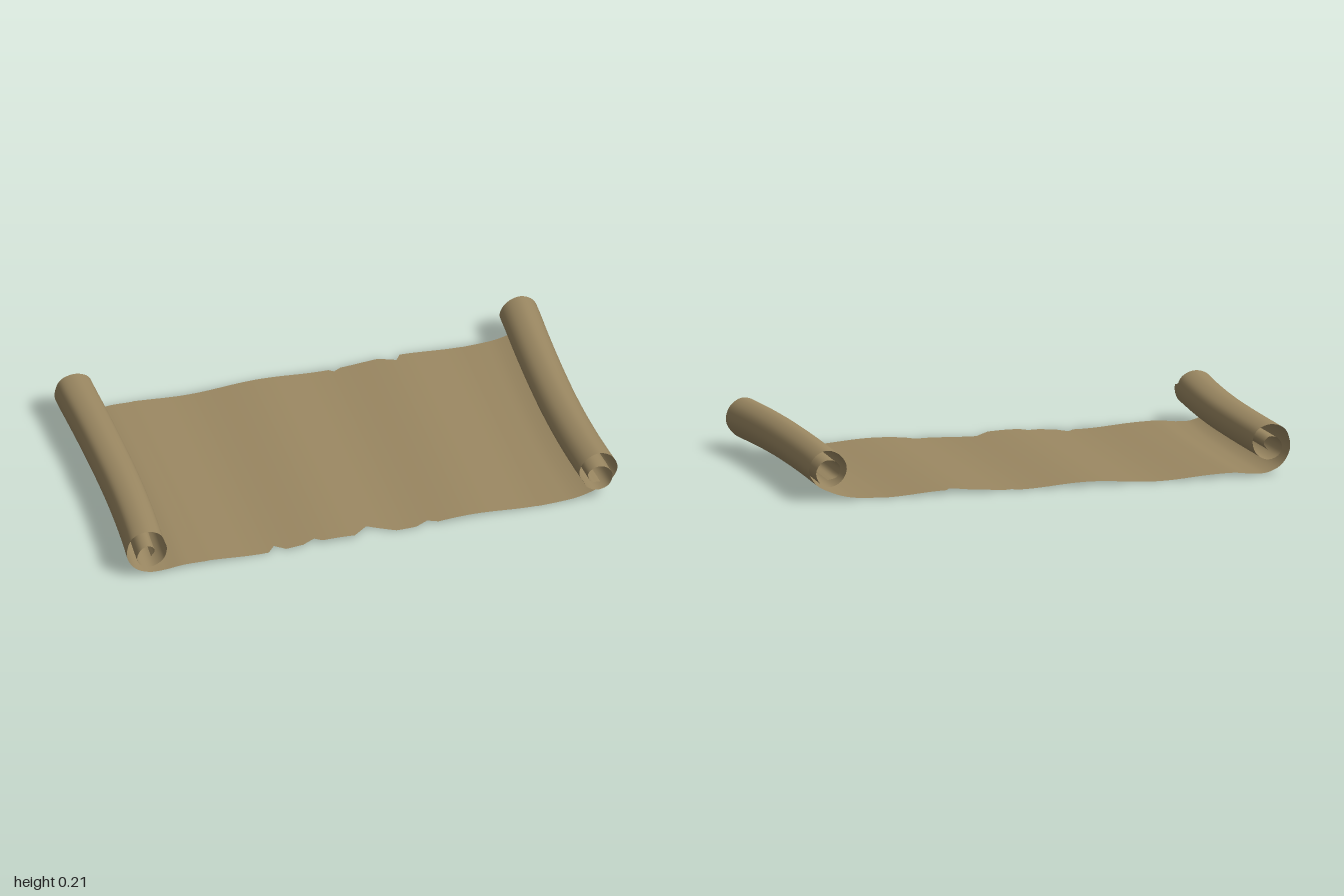
import * as THREE from 'three';

// Half profiles (x, y), from the flat sheet into the centre of each curl
const RIGHT = [[0.66, 0.005], [0.74, 0.008], [0.80, 0.014], [0.87, 0.035], [0.935, 0.07], [0.966, 0.125],
  [0.945, 0.18], [0.895, 0.205], [0.84, 0.185], [0.813, 0.135], [0.83, 0.085], [0.875, 0.06], [0.92, 0.075],
  [0.937, 0.12], [0.91, 0.16], [0.87, 0.165], [0.84, 0.14], [0.85, 0.10], [0.89, 0.088]];
const LEFT = [[-0.66, 0.0184], [-0.75, 0.02], [-0.82, 0.012], [-0.88, 0.014], [-0.935, 0.04], [-0.968, 0.09],
  [-0.972, 0.13], [-0.95, 0.185], [-0.895, 0.205], [-0.84, 0.185], [-0.82, 0.14], [-0.835, 0.09], [-0.88, 0.065],
  [-0.925, 0.08], [-0.94, 0.115], [-0.92, 0.15], [-0.885, 0.155], [-0.865, 0.13], [-0.88, 0.105]];

// Tears in the edges: start x, deepest x, end x, depth
const FRONT_TEARS = [[-0.42, -0.39, -0.35, 0.035], [-0.28, -0.23, -0.20, 0.022],
  [-0.07, -0.01, 0.10, 0.05], [0.18, 0.23, 0.27, 0.022]];
const BACK_TEARS = [[0.13, 0.15, 0.18, 0.015], [0.33, 0.40, 0.42, 0.03]];

function tearDepth(x, tears) {
  for (const [a, p, b, d] of tears) {
    if (x > a && x < b) return d * (x < p ? (x - a) / (p - a) : (b - x) / (b - p));
  }
  return 0;
}

// Columns across one curl; the inner turn sticks out further at the front
function curlColumns(points) {
  const curve = new THREE.CatmullRomCurve3(points.map(([x, y]) => new THREE.Vector3(x, y, 0)));
  const n = 110;
  return curve.getSpacedPoints(n).map((p, i) => ({
    x: p.x, y: p.y, back: -0.553,
    front: i / n > 0.63 ? 0.55 - 0.012 * Math.max(0, i / n - 0.85) / 0.15 : 0.518,
  })).slice(1);
}

// Columns across the wavy middle
function middleColumns() {
  const columns = [];
  for (let i = -66; i <= 66; i++) {
    const x = i / 100;
    columns.push({
      x, y: 0.0125 + 0.0075 * Math.cos(2 * Math.PI * (x + 0.16) / 0.56),
      front: 0.516 - tearDepth(x, FRONT_TEARS),
      back: -0.555 + tearDepth(x, BACK_TEARS),
    });
  }
  return columns;
}

// The curls flare outwards towards both ends
function flare(x, z) {
  const weight = THREE.MathUtils.smoothstep(Math.abs(x), 0.6, 0.85);
  const [front, back] = x > 0 ? [0.032, 0.015] : [0.026, 0.011];
  const t = Math.min(1, Math.abs(z) / 0.52);
  return Math.sign(x) * weight * (z > 0 ? front : back) * t * t;
}

function sheetGeometry() {
  const columns = [...curlColumns(LEFT).reverse(), ...middleColumns(), ...curlColumns(RIGHT)];
  const rows = 16;
  const position = [], index = [];
  columns.forEach((c, i) => {
    for (let j = 0; j <= rows; j++) {
      const z = THREE.MathUtils.lerp(c.back, c.front, j / rows);
      const lift = c.y > 0.1 ? 0.006 * (c.y - 0.1) / 0.1 * Math.max(0, z) / 0.52 : 0;
      position.push(c.x + flare(c.x, z), c.y + lift, z);
      if (i > 0 && j > 0) {
        const d = i * (rows + 1) + j, b = d - rows - 1;
        index.push(b - 1, b, d, b - 1, d, d - 1);
      }
    }
  });
  const geometry = new THREE.BufferGeometry();
  geometry.setAttribute('position', new THREE.Float32BufferAttribute(position, 3));
  geometry.setIndex(index);
  geometry.computeVertexNormals();
  return geometry;
}

export function createModel() {
  const group = new THREE.Group();
  group.name = 'scroll';
  const parchment = new THREE.MeshStandardMaterial({ color: 0x9b8862, side: THREE.DoubleSide });
  parchment.name = 'parchment';
  const sheet = new THREE.Mesh(sheetGeometry(), parchment);
  sheet.name = 'parchmentSheet';
  group.add(sheet);
  return group;
}
